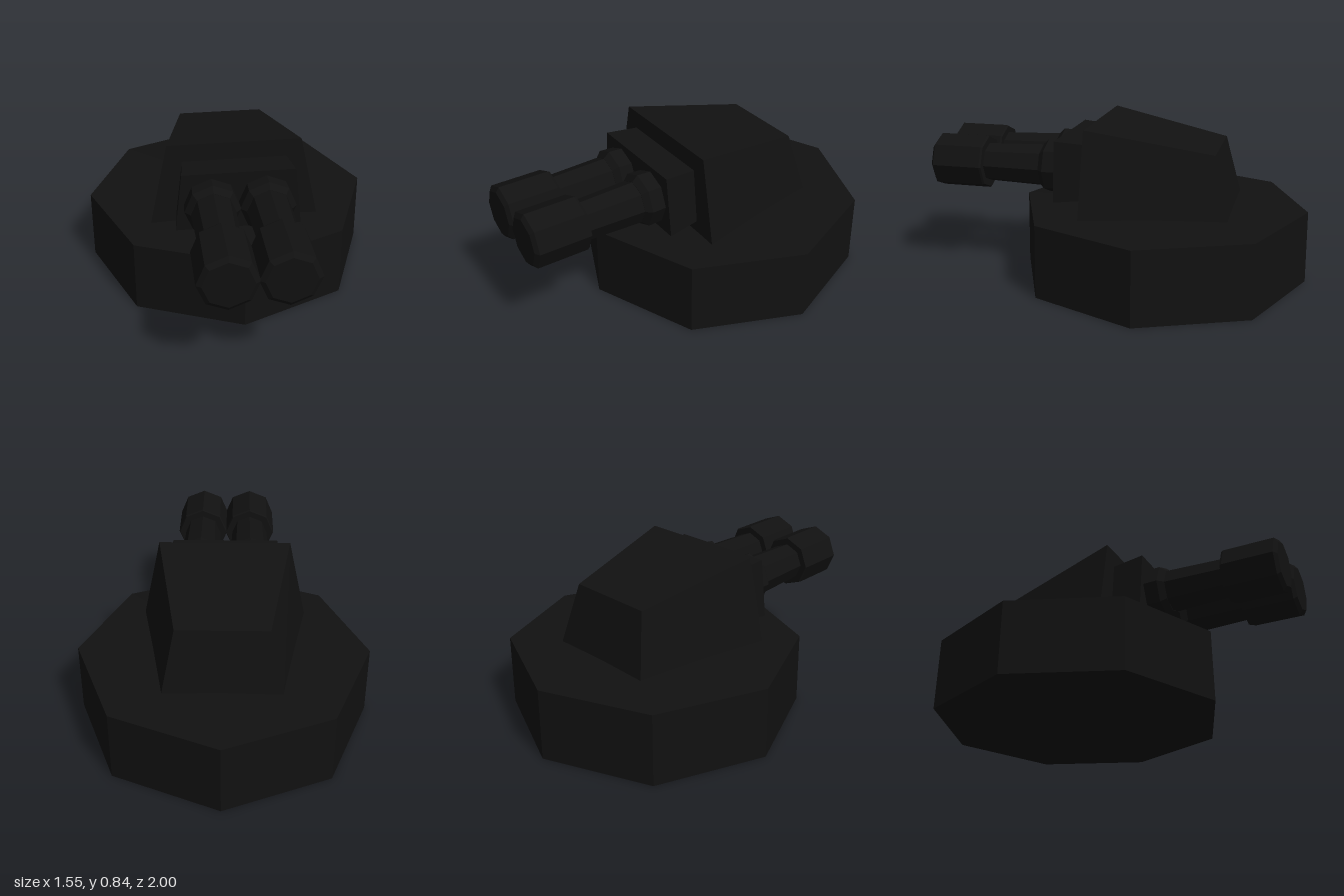
import * as THREE from 'three';

const material = new THREE.MeshStandardMaterial({ color: 0x111111, flatShading: true });

// Eight-sided turned part; profile is [radius, height] from bottom to top
function octagonal(profile) {
  return new THREE.LatheGeometry(profile.map(([r, h]) => new THREE.Vector2(r, h)), 8);
}

// Box reshaped so each corner follows a rule: [half width, y, z] from (isTop, isFront)
function taperedBox(corner) {
  const geometry = new THREE.BoxGeometry(2, 2, 2);
  const p = geometry.attributes.position;
  for (let i = 0; i < p.count; i++) {
    const [w, y, z] = corner(p.getY(i) > 0, p.getZ(i) > 0);
    p.setXYZ(i, Math.sign(p.getX(i)) * w, y, z);
  }
  geometry.computeVertexNormals();
  return geometry;
}

export function createModel() {
  const model = new THREE.Group();
  model.name = 'gunTurret';
  const add = (name, geometry) => {
    const mesh = new THREE.Mesh(geometry, material);
    mesh.name = name;
    model.add(mesh);
    return mesh;
  };

  // Octagonal base with a faintly sloping roof
  const base = add('base', octagonal([[0, 0], [0.776, 0], [0.77, 0.386], [0, 0.418]]));
  base.position.z = -0.224;

  // Wedge-shaped housing, narrower and lower towards the back
  add('housing', taperedBox((top, front) => front
    ? (top ? [0.348, 0.838, 0.12] : [0.446, 0.39, 0.128])
    : (top ? [0.232, 0.718, -0.53] : [0.3, 0.39, -0.61])));

  // Mantlet flaring slightly forwards
  add('mantlet', taperedBox((top, front) => front
    ? (top ? [0.288, 0.758, 0.295] : [0.325, 0.442, 0.295])
    : (top ? [0.27, 0.742, 0.1] : [0.305, 0.462, 0.1])));

  // Twin guns: collar, barrel and muzzle
  const gunParts = {
    Collar: [[0, 0.28], [0.139, 0.28], [0.143, 0.37], [0.115, 0.4], [0, 0.4]],
    Barrel: [[0, 0.38], [0.114, 0.38], [0.103, 0.72], [0, 0.72]],
    Muzzle: [[0, 0.71], [0.14, 0.71], [0.145, 0.72], [0.145, 0.983], [0.12, 1], [0, 1]],
  };
  for (const [side, x] of [['left', 0.14], ['right', -0.14]]) {
    for (const [part, profile] of Object.entries(gunParts)) {
      const mesh = add(side + part, octagonal(profile));
      mesh.rotation.x = Math.PI / 2;
      mesh.position.set(x, 0.591, 0);
    }
  }
  return model;
}
